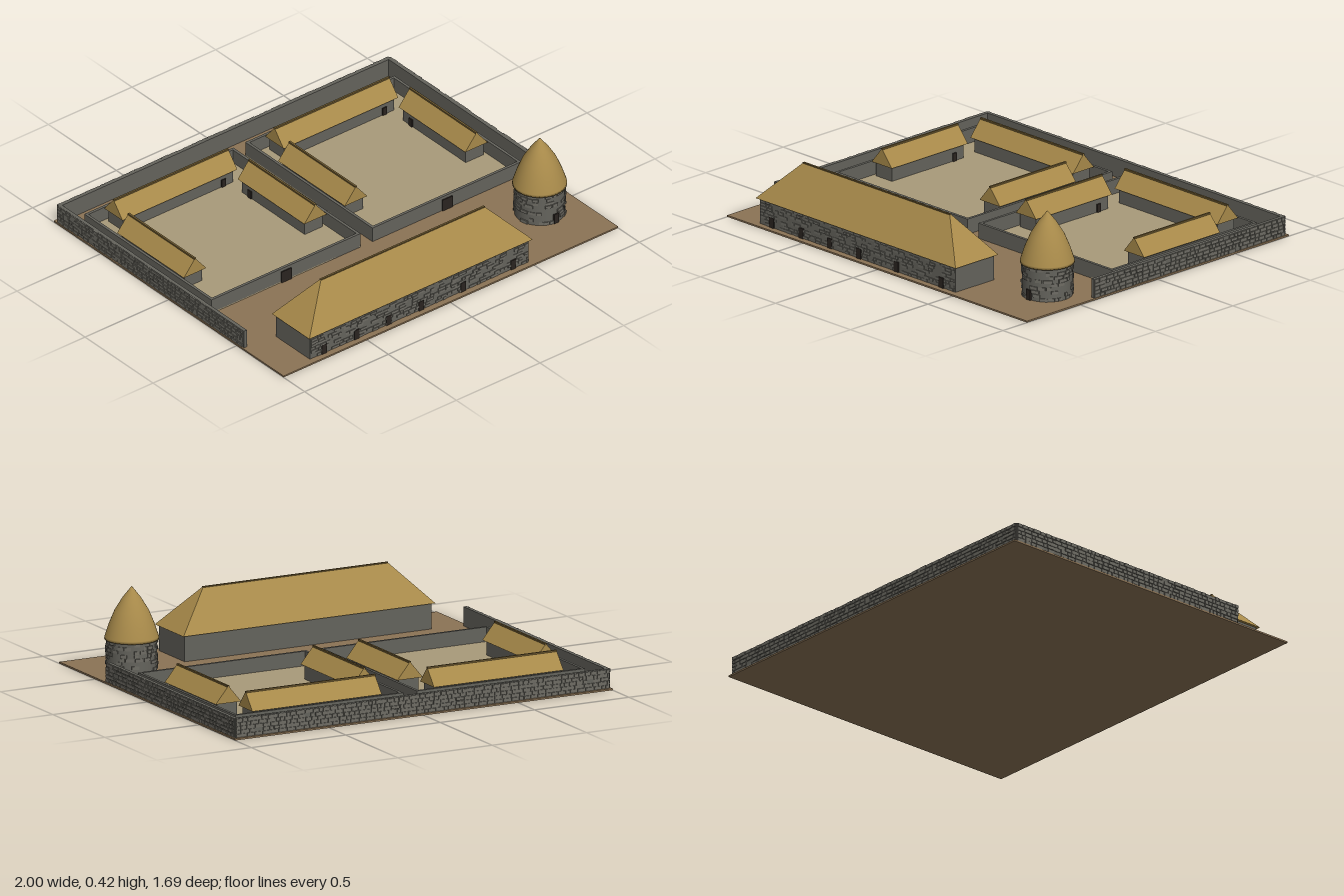
import * as THREE from 'three';
import { mergeGeometries } from 'three/addons/utils/BufferGeometryUtils.js';

const mat = (color, side = THREE.FrontSide) => new THREE.MeshStandardMaterial({ color, side });
const MAT = {
  earth: mat(0x8b7355), paving: mat(0xa89a7a), stone: mat(0x64635c), rubble: mat(0x6e6c64),
  thatch: mat(0xa88a4a, THREE.DoubleSide), ridge: mat(0x6e5a30), door: mat(0x2a2420),
};
const GROUND = 0.008;

// Seeded random numbers for the masonry
let seed = 7;
const rand = () => (seed = (seed * 16807) % 2147483647) / 2147483647;

function add(parent, name, geometry, material, x = 0, y = 0, z = 0) {
  const mesh = new THREE.Mesh(geometry, material);
  mesh.name = name;
  mesh.position.set(x, y, z);
  parent.add(mesh);
  return mesh;
}

// Box standing on height y
function block(parent, name, w, h, d, material, x, y, z) {
  return add(parent, name, new THREE.BoxGeometry(w, h, d), material, x, y + h / 2, z);
}

// Courses of protruding stones on a face; radius > 0 wraps them round a cylinder
function masonry(length, height, courses, density, radius = 0) {
  const stones = [];
  const rowH = height / courses;
  for (let r = 0; r < courses; r++) {
    let x = -length / 2;
    while (x < length / 2 - 0.01) {
      const w = Math.min(0.018 + rand() * 0.03, length / 2 - x);
      const keep = rand() < density;
      const depth = 0.006 + rand() * 0.006;
      const h = rowH * (0.72 + rand() * 0.22);
      if (keep) {
        const g = new THREE.BoxGeometry(w - 0.004, h, depth);
        const mid = x + w / 2;
        g.translate(radius ? 0 : mid, (r + 0.5) * rowH, radius);
        if (radius) g.rotateY(mid / radius);
        stones.push(g);
      }
      x += w;
    }
  }
  return mergeGeometries(stones);
}

// Hipped or gabled roof: a box whose top is drawn in to the ridge
function roofGeometry(length, height, width, ridgeLength) {
  const g = new THREE.BoxGeometry(length, height, width);
  const p = g.attributes.position;
  for (let i = 0; i < p.count; i++) {
    if (p.getY(i) > 0) {
      p.setX(i, p.getX(i) * ridgeLength / length);
      p.setZ(i, p.getZ(i) * 0.03);
    }
  }
  g.computeVertexNormals();
  return g;
}

// Long house along x with its doors on +z
function longHouse(name, o) {
  const house = new THREE.Group();
  house.name = name;
  const wallL = o.length - 2 * o.eave, wallW = o.width - 2 * o.eave;
  block(house, 'houseWalls', wallL, o.wallTop - GROUND + 0.004, wallW, MAT.stone, 0, GROUND, 0);
  const roofH = o.ridgeTop - o.wallTop - 0.004;
  add(house, 'thatchedRoof', roofGeometry(o.length, roofH, o.width, o.ridgeLength), MAT.thatch,
    0, o.wallTop + roofH / 2, 0);
  block(house, 'ridgeCap', o.ridgeLength, 0.01, 0.01, MAT.ridge, 0, o.ridgeTop - 0.01, 0);
  for (const x of o.doors) {
    block(house, 'door', o.doorW, o.doorH, 0.012, MAT.door, x, GROUND, wallW / 2);
  }
  return house;
}

function createCourtyard(cx) {
  const yard = new THREE.Group();
  yard.name = 'courtyard';
  yard.position.x = cx;
  const hw = 0.445, back = -0.71, front = 0.225, t = 0.014, h = 0.075;
  const mid = (back + front) / 2, depth = front - back;
  block(yard, 'paving', hw * 2, 0.005, depth, MAT.paving, 0, GROUND, mid);

  // Enclosing walls and gate
  for (const s of [-1, 1]) {
    block(yard, 'sideWall', t, h, depth, MAT.stone, s * (hw - t / 2), GROUND, mid);
  }
  for (const z of [back + t / 2, front - t / 2]) {
    block(yard, 'crossWall', hw * 2 - 2 * t, h, t, MAT.stone, 0, GROUND, z);
  }
  block(yard, 'gate', 0.06, 0.06, 0.012, MAT.door, 0, GROUND, front);

  // Three houses round the yard
  const base = { width: 0.135, eave: 0.014, wallTop: 0.083, ridgeTop: 0.166, doorW: 0.024, doorH: 0.045 };
  const rear = longHouse('rearHouse', { ...base, length: 0.685, ridgeLength: 0.685, doors: [0.27] });
  rear.position.set(0, 0, -0.622);
  yard.add(rear);
  for (const s of [-1, 1]) {
    const side = longHouse('sideHouse', { ...base, length: 0.49, ridgeLength: 0.49, doors: [-s * 0.17] });
    side.position.set(s * 0.36, 0, -0.245);
    side.rotation.y = -s * Math.PI / 2;
    yard.add(side);
  }
  return yard;
}

// Boundary wall along x, rough stones on its +z face
function boundaryWall(length) {
  const wall = new THREE.Group();
  wall.name = 'boundaryWall';
  const h = 0.092;
  block(wall, 'wallCore', length, h, 0.018, MAT.stone, 0, GROUND, 0);
  add(wall, 'wallStones', masonry(length, h, 5, 0.97), MAT.rubble, 0, GROUND, 0.009);
  return wall;
}

function createTower() {
  const tower = new THREE.Group();
  tower.name = 'roundTower';
  tower.position.set(0.797, 0, 0.517);
  const r = 0.118, h = 0.17 - GROUND;
  add(tower, 'towerWall', new THREE.CylinderGeometry(r, r, h, 40), MAT.stone, 0, GROUND + h / 2, 0);
  add(tower, 'towerStones', masonry(Math.PI * 2 * r, h, 9, 0.5, r - 0.001), MAT.rubble, 0, GROUND, 0);
  const profile = [[0, 0.168], [0.128, 0.168], [0.126, 0.18], [0.107, 0.238], [0.08, 0.303], [0.042, 0.365], [0, 0.418]];
  add(tower, 'conicalThatch', new THREE.LatheGeometry(profile.map(([x, y]) => new THREE.Vector2(x, y)), 40), MAT.thatch);
  block(tower, 'towerDoor', 0.028, 0.05, 0.014, MAT.door, 0, GROUND, r);
  return tower;
}

export function createModel() {
  const model = new THREE.Group();
  model.name = 'walledCompound';
  block(model, 'ground', 2, GROUND, 1.69, MAT.earth, 0, 0, 0);

  model.add(createCourtyard(-0.482), createCourtyard(0.48));

  // Boundary walls: rear, then the two sides of unequal length
  const rear = boundaryWall(1.98);
  rear.position.z = -0.821;
  rear.rotation.y = Math.PI;
  model.add(rear);
  for (const [s, end] of [[-1, 0.545], [1, 0.405]]) {
    const start = -0.825;
    const side = boundaryWall(end - start);
    side.position.set(s * 0.984, 0, (start + end) / 2);
    side.rotation.y = s * Math.PI / 2;
    model.add(side);
  }

  // Great hall with hipped roof and rubble front
  const hall = longHouse('greatHall', {
    length: 1.335, width: 0.276, eave: 0.014, wallTop: 0.132, ridgeTop: 0.322, ridgeLength: 0.98,
    doorW: 0.03, doorH: 0.05, doors: [-0.57, -0.375, -0.185, 0.01, 0.26, 0.56],
  });
  hall.position.set(-0.163, 0, 0.688);
  add(hall, 'hallStones', masonry(1.3, 0.122, 8, 0.6), MAT.rubble, 0, GROUND, 0.123);
  model.add(hall);

  model.add(createTower());
  return model;
}
